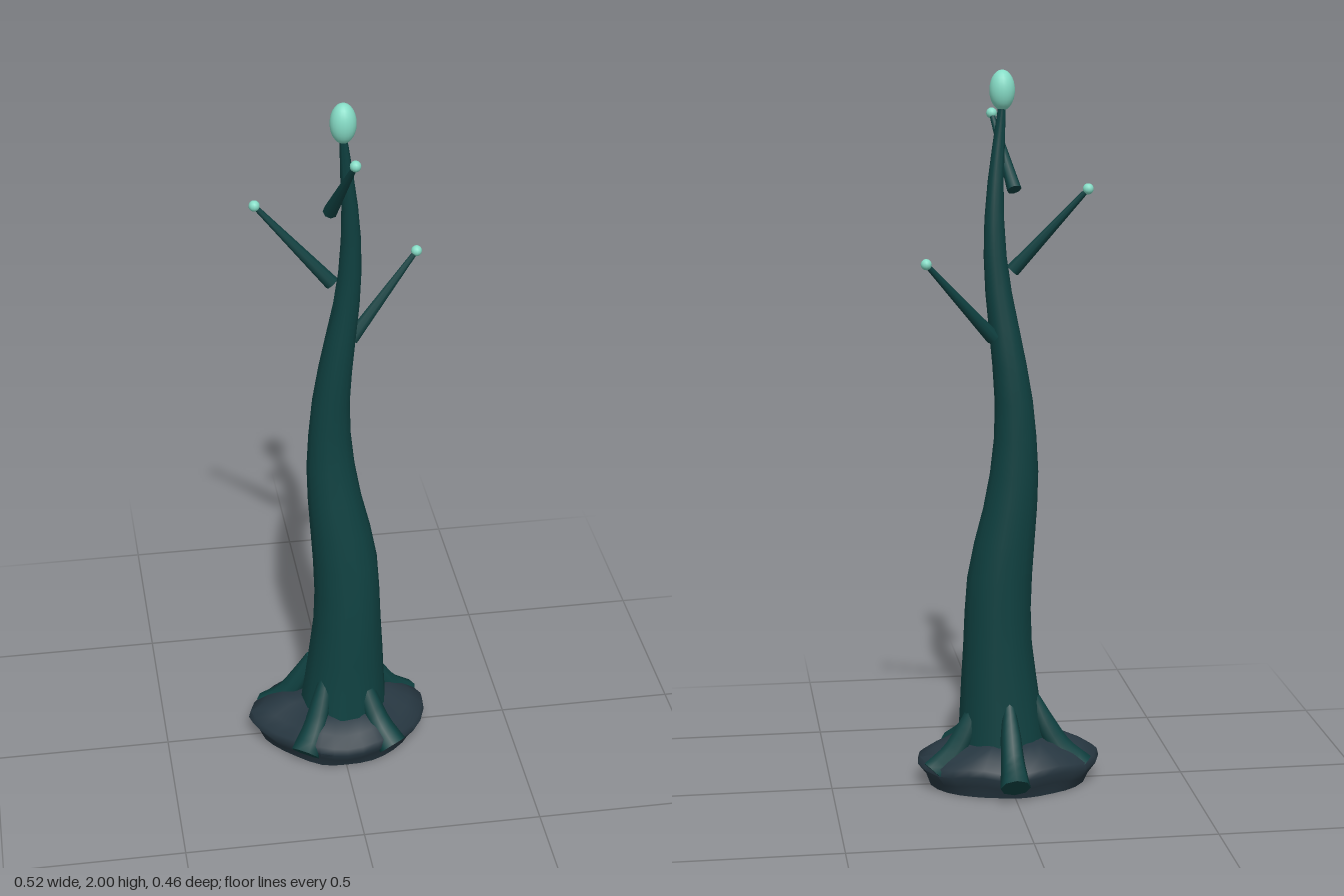
import * as THREE from 'three';
import { toCreasedNormals } from 'three/addons/utils/BufferGeometryUtils.js';

const V = (x, y, z) => new THREE.Vector3(x, y, z);

// Skin a list of closed rings (equal point counts) and cap both ends
function loft(rings) {
  const n = rings[0].length, last = rings.length - 1, pos = [], idx = [];
  for (const r of rings) for (const p of r) pos.push(p.x, p.y, p.z);
  for (let i = 0; i < last; i++) {
    for (let j = 0; j < n; j++) {
      const k = (j + 1) % n, a = i * n + j, b = i * n + k;
      idx.push(a, a + n, b, b, a + n, b + n);
    }
  }
  for (const i of [0, last]) {
    const c = rings[i].reduce((s, p) => s.add(p), V(0, 0, 0)).divideScalar(n);
    const centre = pos.length / 3;
    pos.push(c.x, c.y, c.z);
    for (let j = 0; j < n; j++) {
      const a = i * n + j, b = i * n + (j + 1) % n;
      if (i === 0) idx.push(centre, a, b); else idx.push(centre, b, a);
    }
  }
  const g = new THREE.BufferGeometry();
  g.setAttribute('position', new THREE.Float32BufferAttribute(pos, 3));
  g.setIndex(idx);
  return toCreasedNormals(g, 0.85);
}

// Round tube along a curve with radii interpolated from a list
function taperedTube(points, radii, steps, sides) {
  const curve = new THREE.CatmullRomCurve3(points);
  const { normals, binormals } = curve.computeFrenetFrames(steps);
  const rings = [];
  for (let i = 0; i <= steps; i++) {
    const f = (i / steps) * (radii.length - 1), k = Math.min(Math.floor(f), radii.length - 2);
    const r = THREE.MathUtils.lerp(radii[k], radii[k + 1], f - k);
    const c = curve.getPointAt(i / steps), ring = [];
    for (let j = 0; j < sides; j++) {
      const a = (j / sides) * Math.PI * 2;
      ring.push(c.clone().addScaledVector(binormals[i], r * Math.cos(a)).addScaledVector(normals[i], r * Math.sin(a)));
    }
    rings.push(ring);
  }
  return loft(rings);
}

export function createModel() {
  const group = new THREE.Group();
  const material = (name, color) => {
    const m = new THREE.MeshStandardMaterial({ color });
    m.name = name;
    return m;
  };
  const bark = material('dark teal bark', 0x0f4040);
  const stone = material('slate stone', 0x263640);
  const glow = material('pale mint', 0x86dcc6);
  const add = (name, geometry, mat) => {
    const mesh = new THREE.Mesh(geometry, mat);
    mesh.name = name;
    group.add(mesh);
    return mesh;
  };

  // Rock base: one uneven outline scaled at each height
  const outline = new THREE.CatmullRomCurve3([
    [0.257, -0.01], [0.235, 0.085], [0.17, 0.16], [0.09, 0.205], [0, 0.215], [-0.08, 0.205],
    [-0.16, 0.145], [-0.23, 0.07], [-0.26, 0], [-0.21, -0.095], [-0.13, -0.145],
    [-0.03, -0.178], [0.05, -0.168], [0.13, -0.145], [0.21, -0.095],
  ].map(([x, z]) => V(x, 0, z)), true).getPoints(30).slice(0, 30);
  const levels = [[0, 0.86], [0.03, 0.91], [0.06, 1], [0.08, 0.98], [0.105, 0.83], [0.13, 0.62], [0.14, 0.35]];
  add('rockBase', loft(levels.map(([y, s], i) => outline.map((p, j) =>
    V(p.x * s, i > 0 ? y + 0.006 * Math.sin(j * 1.26 + 1) * (i < 6 ? 1 : 0) : 0, p.z * s)))), stone);

  // Trunk: height, then x and z extents
  const sections = [
    [0.05, -0.115, 0.145, -0.11, 0.145], [0.13, -0.108, 0.14, -0.105, 0.14], [0.2, -0.097, 0.136, -0.1, 0.13],
    [0.3, -0.083, 0.131, -0.095, 0.125], [0.4, -0.07, 0.125, -0.09, 0.118], [0.5, -0.066, 0.121, -0.087, 0.108],
    [0.6, -0.069, 0.114, -0.085, 0.096], [0.7, -0.075, 0.095, -0.083, 0.082], [0.8, -0.081, 0.07, -0.08, 0.066],
    [0.9, -0.083, 0.052, -0.078, 0.05], [1, -0.077, 0.041, -0.075, 0.041], [1.1, -0.067, 0.039, -0.073, 0.039],
    [1.2, -0.05, 0.045, -0.068, 0.038], [1.3, -0.03, 0.054, -0.058, 0.034], [1.4, -0.01, 0.063, -0.045, 0.03],
    [1.5, 0.004, 0.067, -0.037, 0.029], [1.6, 0.01, 0.064, -0.027, 0.031], [1.7, 0.01, 0.054, -0.013, 0.036],
    [1.8, 0.005, 0.039, 0.004, 0.04], [1.92, 0.001, 0.019, 0.021, 0.043],
  ];
  add('trunk', loft(sections.map(([y, x0, x1, z0, z1]) => {
    const ring = [];
    for (let j = 0; j < 14; j++) {
      const a = (j / 14) * Math.PI * 2;
      ring.push(V((x0 + x1 + (x1 - x0) * Math.cos(a)) / 2, y, (z0 + z1 + (z1 - z0) * Math.sin(a)) / 2));
    }
    return ring;
  })), bark);

  // Five roots spreading over the rock
  for (const deg of [-90, -18, 54, 126, 198]) {
    const c = Math.cos(deg * Math.PI / 180), s = Math.sin(deg * Math.PI / 180);
    const at = (r, y) => V(0.008 + r * c, y, r * s + 0.005);
    add('root', taperedTube([at(0.085, 0.25), at(0.12, 0.17), at(0.165, 0.1), at(0.217, 0.052)],
      [0.015, 0.028, 0.033, 0.042], 8, 8), bark);
  }

  // Branches with glowing buds
  const branches = [
    [V(0.045, 1.28, -0.035), V(0.235, 1.495, -0.11)],
    [V(-0.01, 1.462, -0.02), V(-0.21, 1.685, -0.06)],
    [V(-0.017, 1.68, -0.005), V(0.025, 1.875, 0.145)],
  ];
  for (const [start, end] of branches) {
    const dir = end.clone().sub(start);
    const branch = add('branch', new THREE.CylinderGeometry(0.007, 0.02, dir.length(), 8), bark);
    branch.position.copy(start).add(end).multiplyScalar(0.5);
    branch.quaternion.setFromUnitVectors(V(0, 1, 0), dir.normalize());
    add('bud', new THREE.SphereGeometry(0.015, 12, 10), glow).position.copy(end);
  }

  // Large bulb on the tip
  const bulb = add('tipBulb', new THREE.SphereGeometry(0.035, 20, 14), glow);
  bulb.scale.y = 1.57;
  bulb.position.set(0.011, 1.945, 0.032);

  return group;
}
